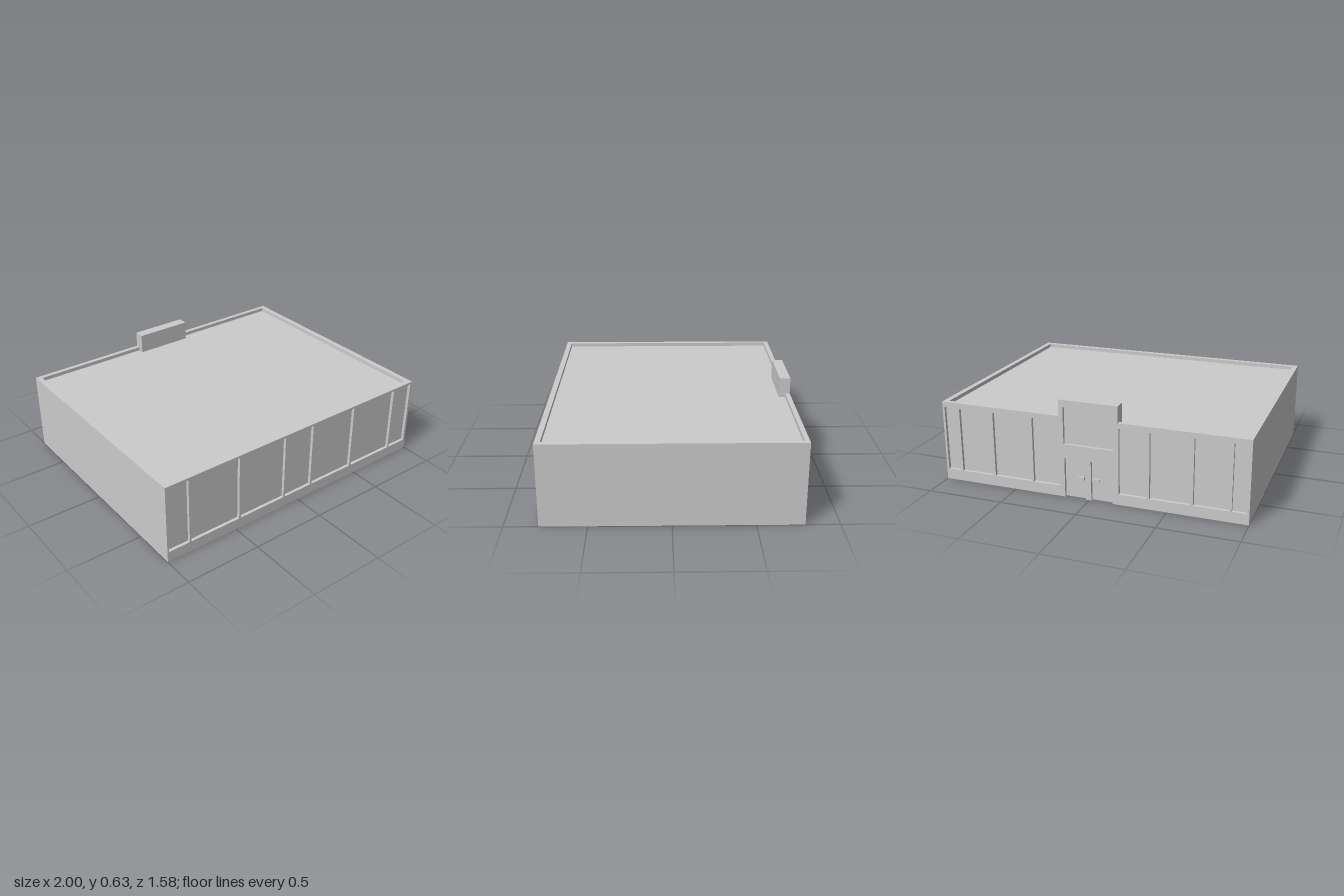
import * as THREE from 'three';

const material = new THREE.MeshStandardMaterial({ color: 0xcccccc, flatShading: true });

// Footprint, heights and facade thickness
const W = 1, D = 0.79, H = 0.53, ROOF = 0.505, T = 0.02, CORE = D - T;

function add(group, name, geometry, x = 0, y = 0, z = 0) {
  const mesh = new THREE.Mesh(geometry, material);
  mesh.name = name;
  mesh.position.set(x, y, z);
  group.add(mesh);
  return mesh;
}

// Box given by its minimum and maximum corners
function addBox(group, name, [x0, y0, z0], [x1, y1, z1]) {
  return add(group, name, new THREE.BoxGeometry(x1 - x0, y1 - y0, z1 - z0),
    (x0 + x1) / 2, (y0 + y1) / 2, (z0 + z1) / 2);
}

const corners = (x0, y0, x1, y1) =>
  [[x0, y0], [x1, y0], [x1, y1], [x0, y1]].map(([x, y]) => new THREE.Vector2(x, y));

// Slab with rectangular openings
function slab(outline, openings, depth) {
  const shape = new THREE.Shape(outline);
  for (const o of openings) shape.holes.push(new THREE.Path(corners(...o).reverse()));
  return new THREE.ExtrudeGeometry(shape, { depth, bevelEnabled: false });
}

export function createModel() {
  const group = new THREE.Group();

  // Main body; its faces form the recessed window panes
  addBox(group, 'body', [-W, 0, -CORE], [W, ROOF, CORE]);

  // Roof parapet
  const parapet = slab(corners(-W, -CORE, W, CORE), [[-0.965, -0.755, 0.965, 0.76]], H - ROOF);
  parapet.rotateX(-Math.PI / 2);
  add(group, 'parapet', parapet, 0, ROOF, 0);

  // Front facade with seven window bays
  const frontBays = [[-0.988, -0.842], [-0.83, -0.475], [-0.463, -0.12], [-0.108, 0.105],
    [0.117, 0.457], [0.47, 0.825], [0.838, 0.985]];
  add(group, 'frontFacade', slab(corners(-W, 0, W, H),
    frontBays.map(([a, b]) => [a, 0.07, b, 0.515]), T), 0, 0, CORE);

  // Back facade: stepped outline with a raised entrance and two door notches
  const tower = 0.192, top = 0.635, doorTop = 0.26;
  const doors = [[-0.155, -0.015], [0.02, 0.16]];
  const outline = [[-W, 0]];
  for (const [a, b] of doors) outline.push([a, 0], [a, doorTop], [b, doorTop], [b, 0]);
  outline.push([W, 0], [W, H], [tower, H], [tower, top], [-tower, top], [-tower, H], [-W, H]);
  const backBays = [[0.195, 0.373], [0.39, 0.643], [0.662, 0.88], [0.895, 0.985]];
  const openings = [[-0.16, 0.35, 0.163, 0.59]];
  for (const [a, b] of backBays) openings.push([a, 0.07, b, 0.495], [-b, 0.07, -a, 0.495]);
  add(group, 'backFacade', slab(outline.map(p => new THREE.Vector2(...p)), openings, T), 0, 0, -D);

  // Raised block behind the entrance
  addBox(group, 'entranceBlock', [-tower, ROOF, -CORE], [tower, top, -0.72]);

  // Door handles: a short stem and a crossbar
  for (const [a, b] of [[-0.068, -0.022], [0.03, 0.076]]) {
    const handle = new THREE.Group();
    handle.name = 'doorHandle';
    const mid = (a + b) / 2;
    addBox(handle, 'handleStem', [mid - 0.01, 0.128, -CORE - 0.012], [mid + 0.01, 0.144, -CORE]);
    addBox(handle, 'handleBar', [a, 0.125, -CORE - 0.02], [b, 0.147, -CORE - 0.01]);
    group.add(handle);
  }
  return group;
}
